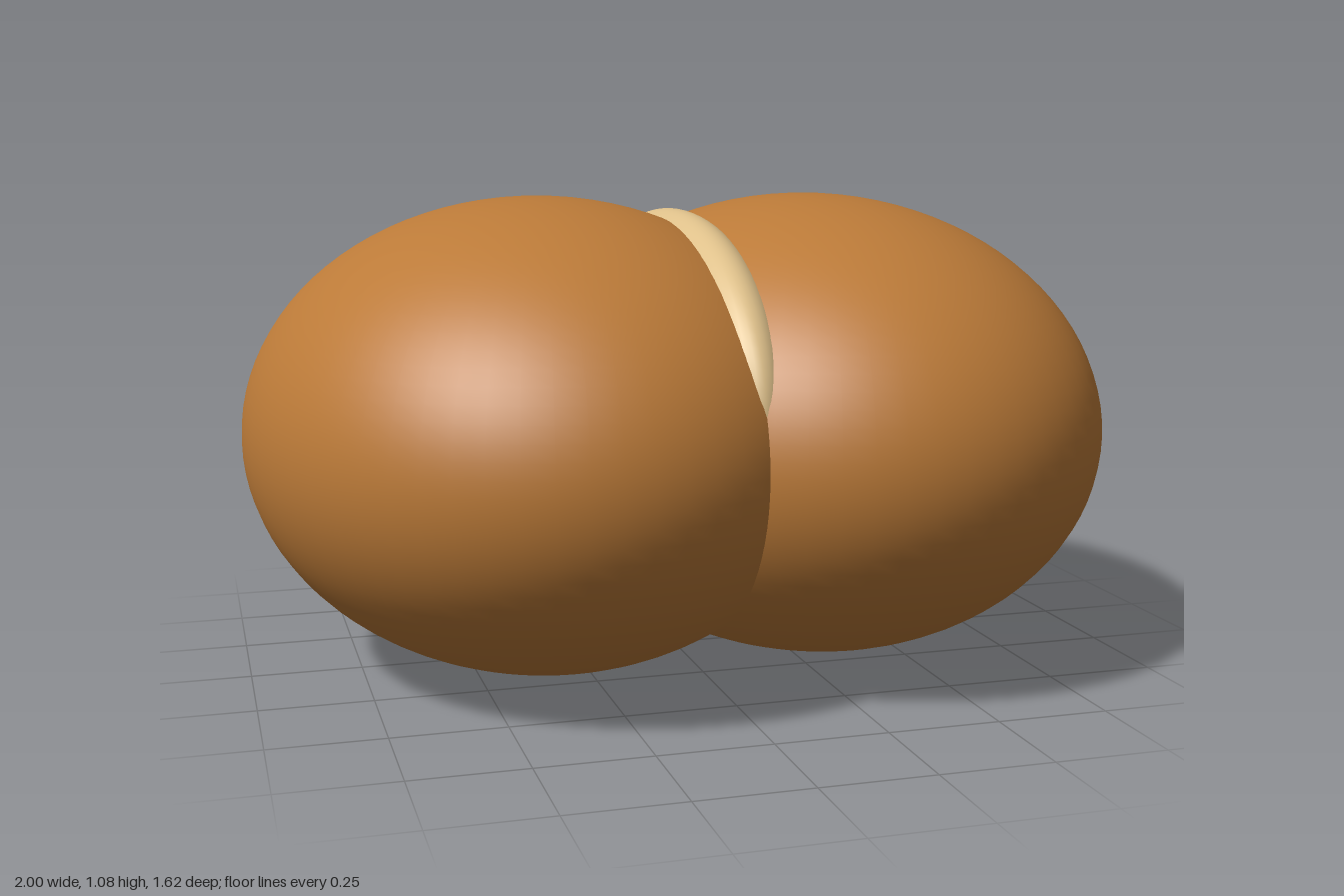
import * as THREE from 'three';

// Smooth ellipsoid from a unit sphere
function ellipsoid(name, material, radii, position) {
  const geometry = new THREE.SphereGeometry(1, 64, 48);
  geometry.scale(...radii);
  const mesh = new THREE.Mesh(geometry, material);
  mesh.name = name;
  mesh.position.set(...position);
  return mesh;
}

export function createModel() {
  const crust = new THREE.MeshStandardMaterial({ color: 0xbb7a38 });
  crust.name = 'brown crust';
  const crumb = new THREE.MeshStandardMaterial({ color: 0xdec08a });
  crumb.name = 'pale crumb';

  const group = new THREE.Group();
  group.name = 'splitBun';

  // Two mirrored lobes that overlap in the middle
  for (const [name, side] of [['leftLobe', 1], ['rightLobe', -1]]) {
    group.add(ellipsoid(name, crust, [0.675, 0.54, 0.81], [side * 0.325, 0.54, 0]));
  }

  // Pale strip showing along the top of the split
  group.add(ellipsoid('splitStrip', crumb, [0.165, 0.407, 0.686], [0, 0.64, 0]));

  return group;
}
